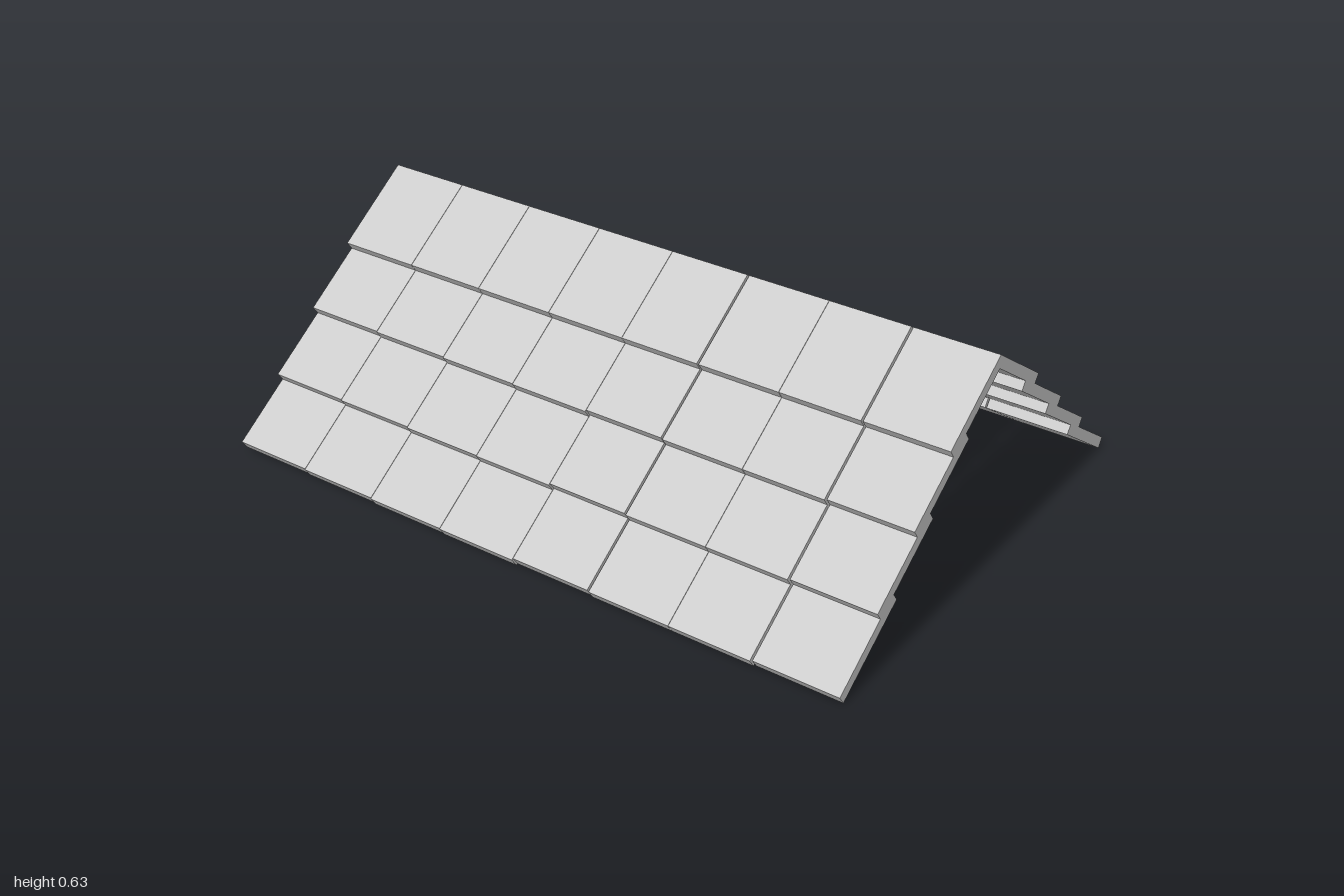
import * as THREE from 'three';

const COLS = 8, ROWS = 4;
const LEN = 0.288, THICK = 0.033, PITCH = 0.603; // board size and roof slope
const STEP_X = 0.163, STEP_Y = 0.147;            // offset between courses
const APEX_Y = 0.635;
// slight slide of each column down the slope, back to front
const SLIDE = [-0.006, -0.002, 0.003, 0.006, -0.002, 0.003, 0.003, -0.002];

// One shingle board; its back eave corner can be lifted to warp it
function board(side, row, col, material) {
  const gapped = col === 4 || col === 6;         // open joints in front of these columns
  const depth = 0.25 - (gapped ? 0.006 : 0.0012);
  const geo = new THREE.BoxGeometry(LEN, THICK, depth).toNonIndexed();
  const lift = side > 0 && col > 0 ? 0.004 + 0.002 * ((col * 3 + row * 2) % 4) : 0;
  const p = geo.attributes.position;
  for (let i = 0; i < p.count; i++) {
    if (p.getX(i) * side > 0 && p.getY(i) > 0 && p.getZ(i) < 0) {
      p.setXYZ(i, p.getX(i) + side * lift * 0.4, p.getY(i) + lift, p.getZ(i));
    }
  }
  geo.computeVertexNormals();

  const mesh = new THREE.Mesh(geo, material);
  mesh.name = 'shingle';
  const c = Math.cos(PITCH), s = Math.sin(PITCH);
  const down = ROWS - 1 - row;
  const slide = row === ROWS - 1 ? 0 : SLIDE[col] * 0.6;
  // centre of the board, measured from its upper top corner
  const along = LEN / 2 + slide;
  mesh.position.set(
    side * (down * STEP_X + along * c - s * THICK / 2),
    APEX_Y - down * STEP_Y - along * s - c * THICK / 2,
    -1 + 0.25 * col + (gapped ? 0.1225 : 0.125)
  );
  mesh.rotation.z = -side * PITCH;
  return mesh;
}

export function createModel() {
  const roof = new THREE.Group();
  roof.name = 'gableRoof';
  const material = new THREE.MeshStandardMaterial({ color: 0xcccccc, flatShading: true });

  // Two slopes, each with overlapping courses from eave to ridge
  for (const side of [-1, 1]) {
    const slope = new THREE.Group();
    slope.name = side > 0 ? 'leftSlope' : 'rightSlope';
    for (let row = 0; row < ROWS; row++) {
      const course = new THREE.Group();
      course.name = 'shingleCourse';
      for (let col = 0; col < COLS; col++) course.add(board(side, row, col, material));
      slope.add(course);
    }
    roof.add(slope);
  }
  return roof;
}
